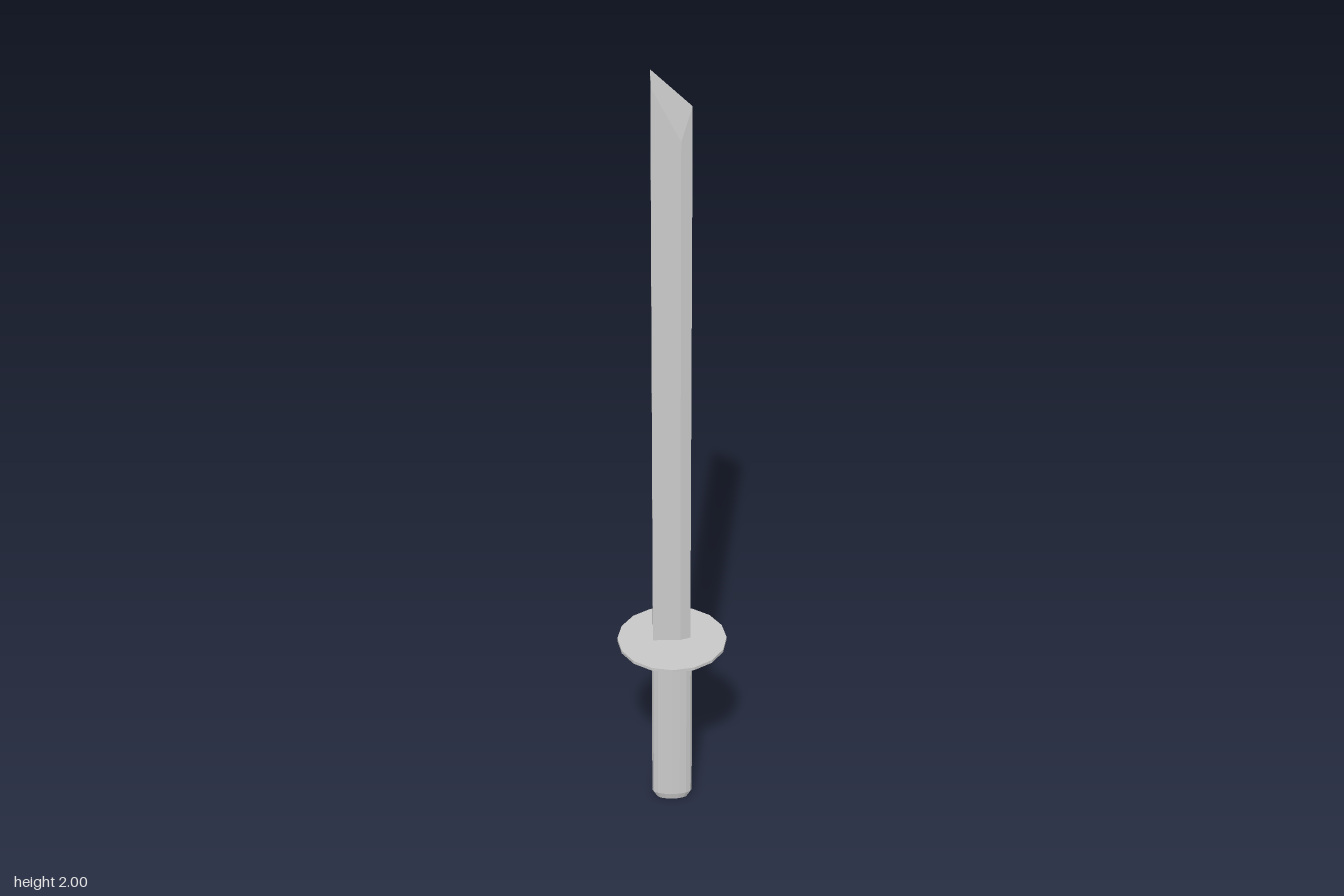
import * as THREE from 'three';
import { ConvexGeometry } from 'three/addons/geometries/ConvexGeometry.js';

const steel = new THREE.MeshStandardMaterial({ color: 0xcccccc, flatShading: true });

function part(name, geometry, y = 0) {
  const mesh = new THREE.Mesh(geometry, steel);
  mesh.name = name;
  mesh.position.y = y;
  return mesh;
}

// Single-edged blade: [x, z, top height] round a five-sided cross-section
function bladeGeometry() {
  const section = [
    [-0.047, 0.01, 1.96],   // spine, front
    [0.02, 0.01, 1.83],     // bevel start, front
    [0.045, 0, 1.91],       // cutting edge
    [0.02, -0.011, 1.85],   // bevel start, back
    [-0.047, -0.011, 1.87], // spine, back
  ];
  const points = [new THREE.Vector3(-0.047, 2, 0.007)]; // slanted tip
  for (const [x, z, top] of section) {
    points.push(new THREE.Vector3(x, 0.487, z), new THREE.Vector3(x, top, z));
  }
  return new ConvexGeometry(points);
}

// Flattened oval grip with a chamfered bottom
function gripGeometry() {
  const profile = [[0, 0], [0.039, 0], [0.05, 0.018], [0.05, 0.487], [0, 0.487]];
  const geometry = new THREE.LatheGeometry(profile.map(([r, y]) => new THREE.Vector2(r, y)), 16);
  return geometry.scale(1, 1, 0.38);
}

export function createModel() {
  const group = new THREE.Group();
  group.name = 'sword';
  group.add(
    part('blade', bladeGeometry()),
    part('guard', new THREE.CylinderGeometry(0.134, 0.134, 0.008, 16), 0.489),
    part('grip', gripGeometry()),
  );
  return group;
}
